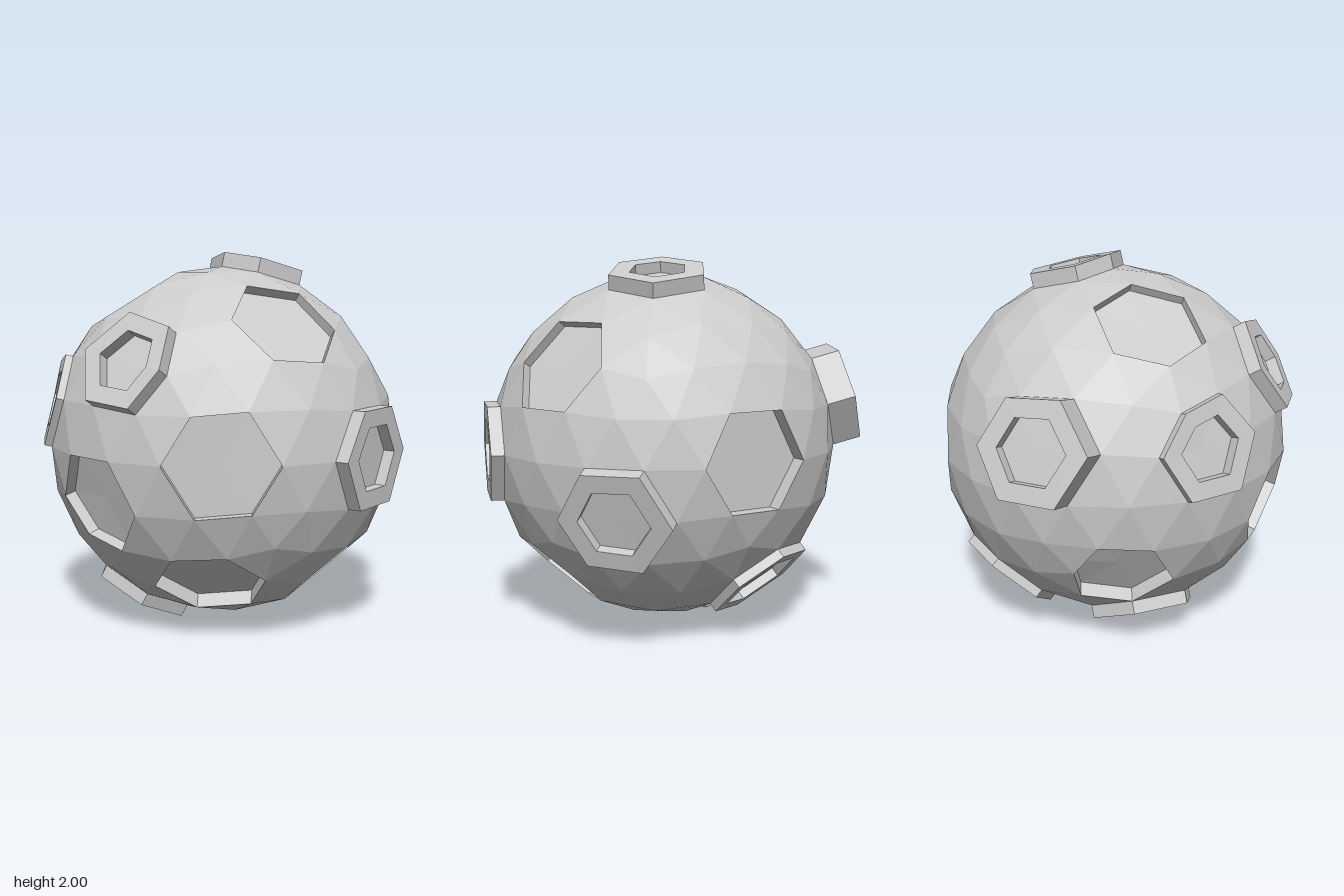
import * as THREE from 'three';

const R = 0.945, TURN = -4.3;
const CENTRE = new THREE.Vector3(-0.008, 0.978, 0.01);

// Direction from azimuth (0 = front, 90 = left side) and latitude, in degrees
function dir(az, lat) {
  const a = THREE.MathUtils.degToRad(az + TURN), l = THREE.MathUtils.degToRad(lat);
  return new THREE.Vector3(Math.cos(l) * Math.sin(a), Math.sin(l), Math.cos(l) * Math.cos(a));
}

// Recessed hexagons: azimuth, latitude, depth
const RECESSES = [
  [0, 0, 0.06], [31.6, 46.4, 0.05], [-45.2, -14.55, 0.065], [-4.4, -46.4, 0.08],
  [67.6, -46.4, 0.08], [90, 31.72, 0.05], [270, 58.28, 0.045], [162, 0, 0.08],
  [250, -30.15, 0.08],
];
// Raised hexagonal sockets: azimuth, latitude, height, hole scale, hole depth
const SOCKETS = [
  [-34, 30.15, 0.07, 0.62, 0.06], [54, 0, 0.07, 0.64, 0.06], [126, 75.45, 0.08, 0.58, 0.06],
  [116.3, -16, 0.08, 0.64, 0.06], [-81.2, 14.55, 0.04, 0.62, 0.06], [224.3, 16, 0.155, 0.63, 0.06],
  [184.4, -46.4, 0.05, 0.74, 0.05], [270, -63.4, 0.07, 0.65, 0.06],
];

// Icosahedron standing on a corner, subdivided into a faceted ball
function ballTriangles() {
  const pts = [dir(0, 90), dir(0, -90)], faces = [];
  const lat = THREE.MathUtils.radToDeg(Math.atan(0.5));
  for (let k = 0; k < 5; k++) pts.push(dir(-18 + 72 * k, lat), dir(18 + 72 * k, -lat));
  for (let k = 0; k < 5; k++) {
    const n = (k + 1) % 5, u = 2 + 2 * k, d = u + 1, u2 = 2 + 2 * n, d2 = u2 + 1;
    faces.push(0, u, u2, u, d, u2, d, d2, u2, 1, d2, d);
  }
  const flat = pts.flatMap((p) => p.toArray());
  const pos = new THREE.PolyhedronGeometry(flat, faces, R, 3).attributes.position;
  const tris = [];
  for (let i = 0; i < pos.count; i += 3) {
    tris.push([0, 1, 2].map((j) => new THREE.Vector3().fromBufferAttribute(pos, i + j)));
  }
  return tris;
}

function meshFrom(tris, name, material) {
  const geo = new THREE.BufferGeometry().setFromPoints(tris.flat());
  geo.computeVertexNormals();
  const mesh = new THREE.Mesh(geo, material);
  mesh.name = name;
  mesh.position.copy(CENTRE);
  return mesh;
}

// Step a hexagon through levels of [scale, offset along normal], then close it
function hexFeature(edges, normal, levels) {
  const mid = new THREE.Vector3();
  edges.forEach(([a]) => mid.addScaledVector(a, 1 / edges.length));
  const at = (v, [s, h]) => v.clone().sub(mid).multiplyScalar(s).add(mid).addScaledVector(normal, h);
  const out = [];
  for (const [a, b] of edges) {
    for (let i = 0; i + 1 < levels.length; i++) {
      const a0 = at(a, levels[i]), b0 = at(b, levels[i]);
      const a1 = at(a, levels[i + 1]), b1 = at(b, levels[i + 1]);
      out.push([a0, b0, b1], [a0, b1, a1]);
    }
    const last = levels[levels.length - 1];
    out.push([at(mid, last), at(a, last), at(b, last)]);
  }
  return out;
}

export function createModel() {
  const group = new THREE.Group();
  const material = new THREE.MeshStandardMaterial({ color: 0xcccccc, flatShading: true });
  let tris = ballTriangles();

  // Cut the six triangles round the nearest ball vertex and fill in the feature
  function addFeature(az, lat, levels, name) {
    const d = dir(az, lat);
    let centre = tris[0][0];
    for (const v of tris.flat()) if (v.dot(d) > centre.dot(d)) centre = v;
    const edges = [], rest = [];
    for (const t of tris) {
      const i = t.findIndex((v) => v.distanceTo(centre) < 0.01);
      if (i < 0) rest.push(t);
      else edges.push([t[(i + 1) % 3], t[(i + 2) % 3]]);
    }
    tris = rest;
    const normal = centre.clone().normalize();
    group.add(meshFrom(hexFeature(edges, normal, levels), name, material));
  }

  for (const [az, lat, depth] of RECESSES) {
    addFeature(az, lat, [[1, 0], [1, -depth]], 'recessedHexagon');
  }
  for (const [az, lat, h, s, depth] of SOCKETS) {
    addFeature(az, lat, [[1, 0], [1, h], [s, h], [s, h - depth]], 'raisedSocket');
  }
  group.add(meshFrom(tris, 'ballShell', material));
  return group;
}
